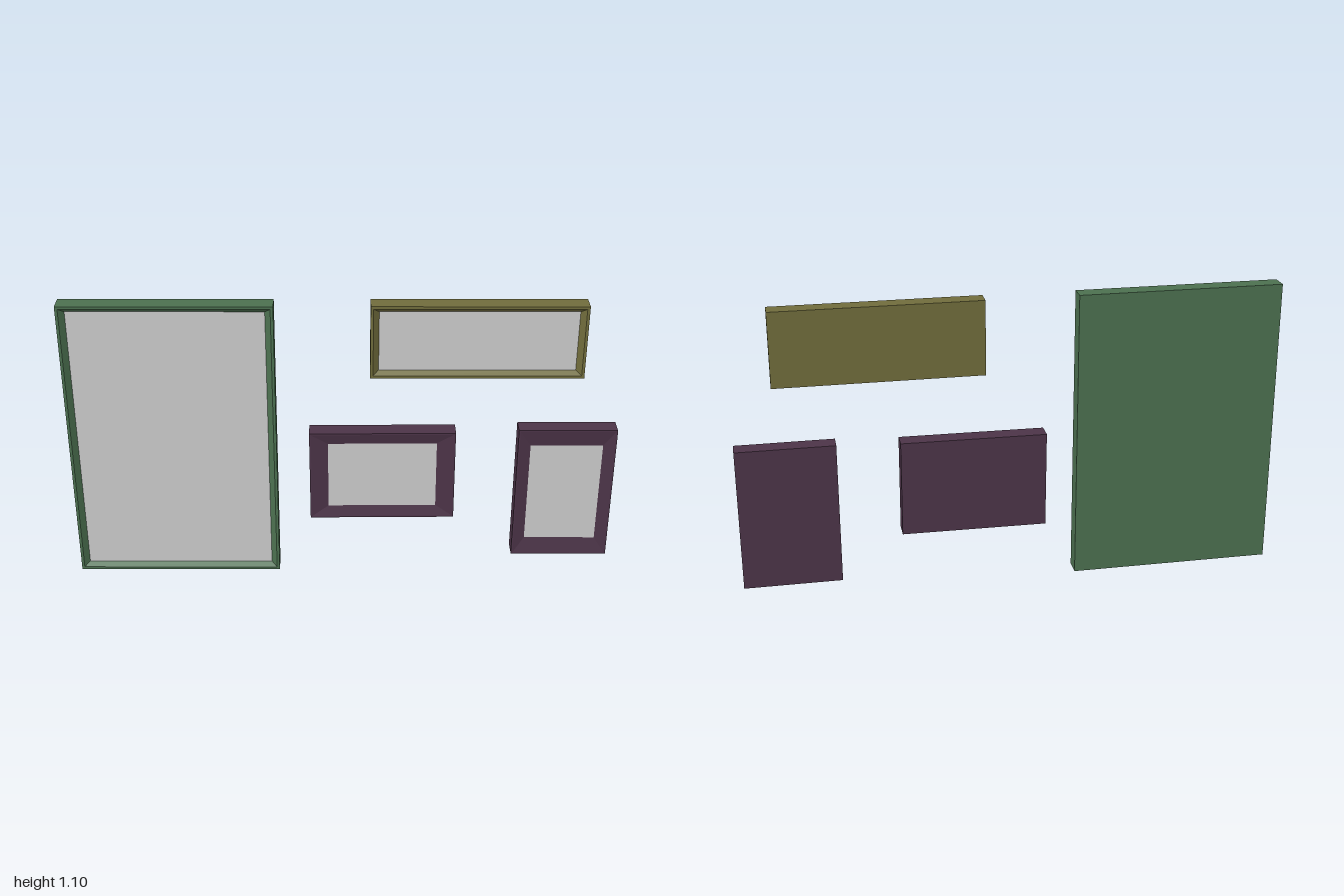
import * as THREE from 'three';

const GREEN = 0x4c7050, OLIVE = 0x706c3c, PURPLE = 0x4c3448;

// Rectangular loop of four corners, counter-clockwise seen from the front
const loop = (w, h, z) => [[-1, -1], [1, -1], [1, 1], [-1, 1]].map(([sx, sy]) => [sx * w / 2, sy * h / 2, z]);

// Frame body: closed back, outer sides, flat lip and sloped inner moulding
function frameGeometry(f) {
  const zf = f.depth / 2;
  const loops = [
    loop(f.w, f.h, -zf),
    loop(f.w, f.h, zf),
    loop(f.w - 2 * f.lip, f.h - 2 * f.lip, zf),
    loop(f.w - 2 * f.bx, f.h - 2 * f.by, zf - f.recess),
  ];
  const pos = [];
  const quad = (a, b, c, d) => pos.push(...a, ...b, ...c, ...a, ...c, ...d);
  for (let i = 0; i < 3; i++) {
    for (let j = 0; j < 4; j++) {
      const k = (j + 1) % 4;
      quad(loops[i][j], loops[i][k], loops[i + 1][k], loops[i + 1][j]);
    }
  }
  const b = loops[0];
  quad(b[3], b[2], b[1], b[0]);
  const g = new THREE.BufferGeometry();
  g.setAttribute('position', new THREE.Float32BufferAttribute(pos, 3));
  g.computeVertexNormals();
  return g;
}

function pictureFrame(f) {
  const group = new THREE.Group();
  group.name = f.name;
  const body = new THREE.Mesh(frameGeometry(f), new THREE.MeshStandardMaterial({ color: f.color }));
  body.name = 'frame';
  // Picture panel closing the opening
  const picture = new THREE.Mesh(
    new THREE.PlaneGeometry(f.w - 2 * f.bx, f.h - 2 * f.by),
    new THREE.MeshStandardMaterial({ color: 0xcccccc }));
  picture.name = 'picture';
  picture.position.z = f.depth / 2 - f.recess;
  group.add(body, picture);
  group.position.set(f.x, f.y, f.z);
  group.rotation.z = f.tilt || 0;
  return group;
}

export function createModel() {
  const model = new THREE.Group();
  model.name = 'pictureFrames';
  const thin = { bx: 0.03, by: 0.026, lip: 0.01, recess: 0.017, depth: 0.066, z: 0.01 };
  const wide = { lip: 0.006, recess: 0.01, depth: 0.067, z: -0.009, color: PURPLE };
  const frames = [
    { ...thin, name: 'largePortraitFrame', color: GREEN, w: 0.757, h: 1.097, x: -0.622, y: 0.5485 },
    { ...thin, name: 'wideLandscapeFrame', color: OLIVE, w: 0.76, h: 0.278, x: 0.475, y: 0.959 },
    { ...wide, name: 'smallLandscapeFrame', w: 0.536, h: 0.36, bx: 0.068, by: 0.047, x: 0.144, y: 0.405, tilt: 0.007 },
    { ...wide, name: 'smallPortraitFrame', w: 0.36, h: 0.538, bx: 0.047, by: 0.068, x: 0.82, y: 0.329 },
  ];
  frames.forEach((f) => model.add(pictureFrame(f)));
  return model;
}
